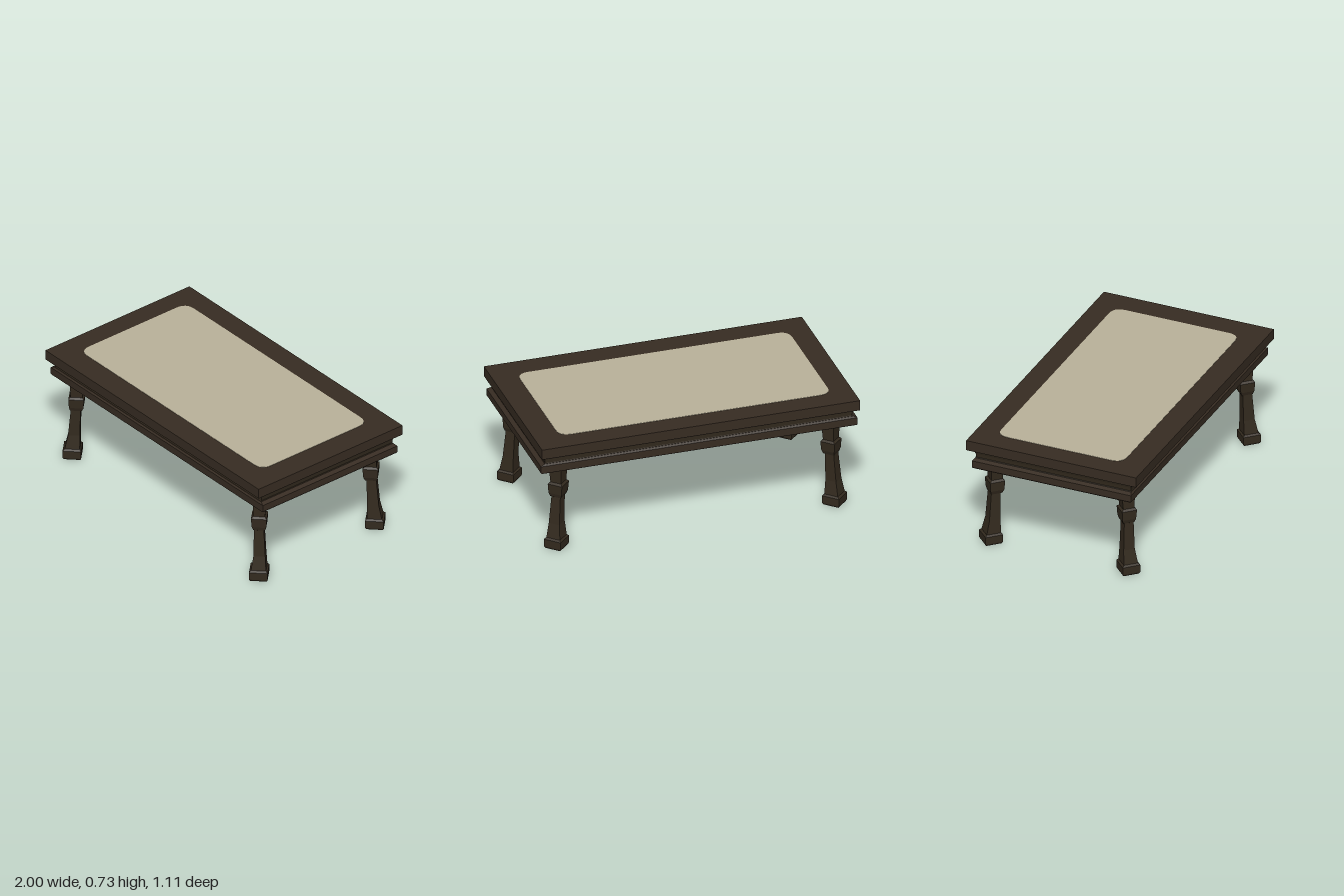
import * as THREE from 'three';

const material = (name, color) => {
  const m = new THREE.MeshStandardMaterial({ color });
  m.name = name;
  return m;
};

// Flat-shaded solid lofted through four-cornered rings, listed from bottom to top
function loft(rings) {
  const pos = [];
  const quad = (a, b, c, d) => pos.push(...a, ...b, ...c, ...a, ...c, ...d);
  for (let i = 0; i < rings.length - 1; i++) {
    for (let k = 0; k < 4; k++) {
      const n = (k + 1) % 4;
      quad(rings[i][k], rings[i][n], rings[i + 1][n], rings[i + 1][k]);
    }
  }
  const [a, b, c, d] = rings[0];
  quad(d, c, b, a);
  quad(...rings[rings.length - 1]);
  const geo = new THREE.BufferGeometry();
  geo.setAttribute('position', new THREE.Float32BufferAttribute(pos, 3));
  geo.computeVertexNormals();
  return geo;
}

// Rings run counter-clockwise seen from above
const rectRing = ([y, x, z]) => [[-x, y, z], [x, y, z], [x, y, -z], [-x, y, -z]];
const diamondRing = (y, r, cx, cz) => [[cx - r, y, cz], [cx, y, cz + r], [cx + r, y, cz], [cx, y, cz - r]];

export function createModel() {
  const group = new THREE.Group();
  const wood = material('dark wood', 0x372c22);
  const legWood = material('olive wood', 0x332a1e);
  const cream = material('cream inlay', 0xbab29a);

  const add = (name, geo, mat) => {
    const mesh = new THREE.Mesh(geo, mat);
    mesh.name = name;
    group.add(mesh);
    return mesh;
  };

  // Top slab, cove below it and apron band: [y, half width, half depth]
  add('tableTop', loft([[0.66, 1, 0.557], [0.725, 1, 0.557]].map(rectRing)), wood);
  add('cove', loft([
    [0.595, 0.972, 0.512], [0.607, 0.965, 0.507], [0.63, 0.968, 0.508],
    [0.643, 0.972, 0.514], [0.66, 0.99, 0.55],
  ].map(rectRing)), legWood);
  add('apronBand', loft([
    [0.542, 0.99, 0.518], [0.548, 0.995, 0.521], [0.592, 0.995, 0.521], [0.602, 0.972, 0.512],
  ].map(rectRing)), wood);

  // Rounded inlay panel on the top
  const x0 = -0.865, x1 = 0.845, z0 = -0.42, z1 = 0.405, r = 0.075;
  const s = new THREE.Shape();
  s.moveTo(x0 + r, -z1);
  s.lineTo(x1 - r, -z1);
  s.quadraticCurveTo(x1, -z1, x1, -z1 + r);
  s.lineTo(x1, -z0 - r);
  s.quadraticCurveTo(x1, -z0, x1 - r, -z0);
  s.lineTo(x0 + r, -z0);
  s.quadraticCurveTo(x0, -z0, x0, -z0 - r);
  s.lineTo(x0, -z1 + r);
  s.quadraticCurveTo(x0, -z1, x0 + r, -z1);
  const panel = new THREE.ExtrudeGeometry(s, { depth: 0.003, bevelEnabled: false, curveSegments: 6 });
  panel.rotateX(-Math.PI / 2);
  add('topInlay', panel, cream).position.y = 0.724;

  // Splayed legs, square in section and turned to the diagonal: [y, half diagonal, x, z]
  const profile = [
    [0, 0.07, 0.875, 0.45], [0.012, 0.079, 0.875, 0.45], [0.06, 0.079, 0.875, 0.45],
    [0.07, 0.064, 0.874, 0.449], [0.16, 0.05, 0.87, 0.44], [0.335, 0.042, 0.86, 0.436],
    [0.337, 0.05, 0.859, 0.433], [0.36, 0.061, 0.858, 0.432], [0.42, 0.067, 0.857, 0.432],
    [0.432, 0.05, 0.857, 0.432], [0.545, 0.06, 0.857, 0.426],
  ];
  for (const [sx, sz, name] of [[1, 1, 'frontLeftLeg'], [-1, 1, 'frontRightLeg'],
    [1, -1, 'backLeftLeg'], [-1, -1, 'backRightLeg']]) {
    add(name, loft(profile.map(([y, rad, x, z]) => diamondRing(y, rad, sx * x, sz * z))), legWood);
  }
  return group;
}
